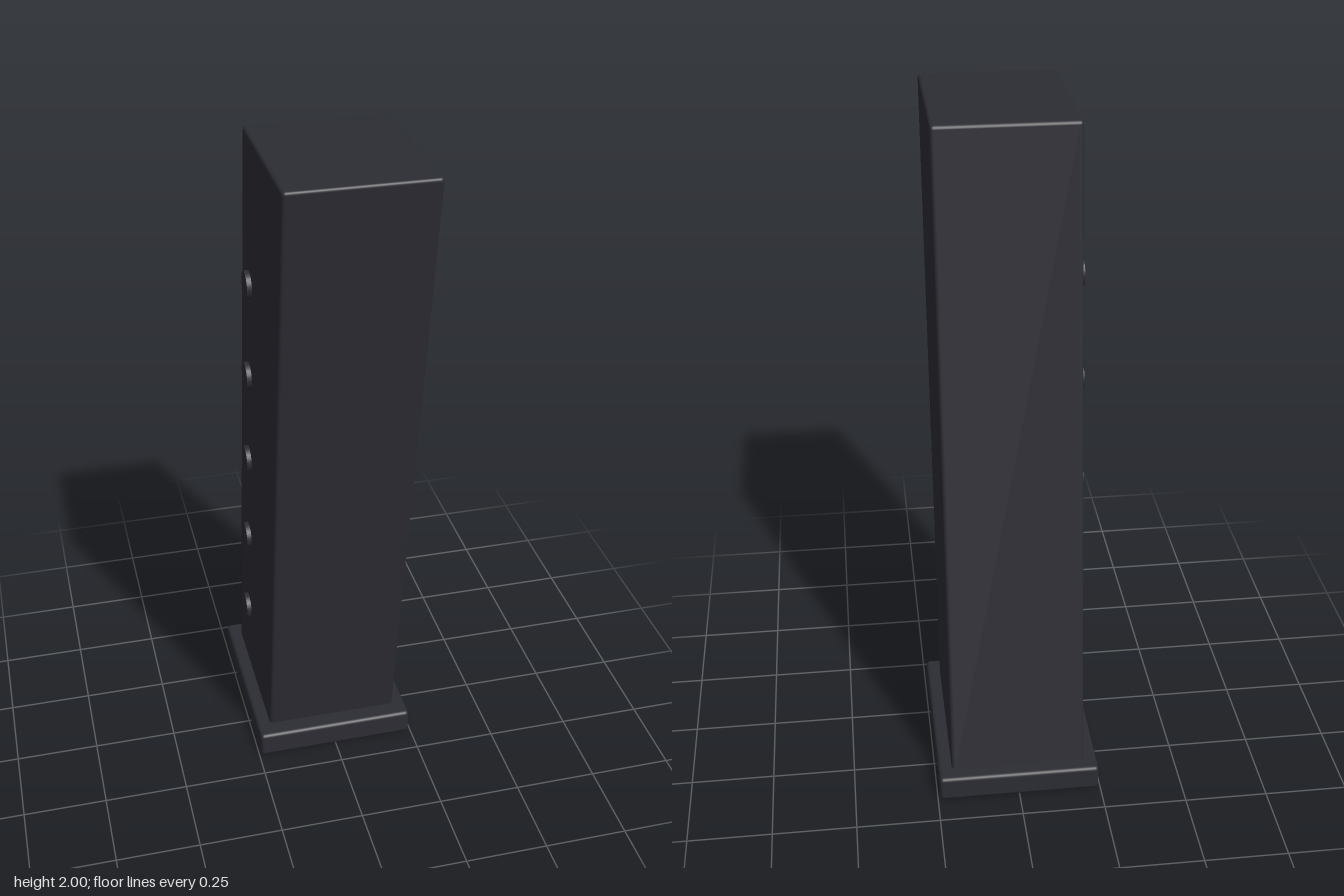
import * as THREE from 'three';
import { RoundedBoxGeometry } from 'three/addons/geometries/RoundedBoxGeometry.js';

export function createModel() {
  const model = new THREE.Group();
  const darkPolymer = new THREE.MeshStandardMaterial({ color: 0x2c2c34 });
  darkPolymer.name = 'darkPolymer';

  const add = (name, geometry, x, y, z) => {
    const mesh = new THREE.Mesh(geometry, darkPolymer);
    mesh.name = name;
    mesh.position.set(x, y, z);
    model.add(mesh);
  };

  // Floor plate
  add('basePlate', new RoundedBoxGeometry(0.488, 0.08, 0.588, 3, 0.012), 0, 0.04, -0.122);

  // Slanted body: a rounded box sheared forward, its foot sunk into the plate
  const bottom = 0.06, top = 2, slope = 0.157;
  const body = new RoundedBoxGeometry(0.406, top - bottom, 0.485, 3, 0.01);
  body.applyMatrix4(new THREE.Matrix4().set(
    1, 0, 0, 0,
    0, 1, 0, 0,
    0, slope, 1, 0,
    0, 0, 0, 1));
  add('body', body, 0, (top + bottom) / 2, 0.022);

  // Row of round witness marks on one side
  const mark = new THREE.CylinderGeometry(0.04, 0.04, 0.02, 24).rotateZ(Math.PI / 2);
  for (let i = 0; i < 5; i++) {
    add('witnessMark' + (i + 1), mark, -0.207, 0.33 + i * 0.307, -0.19 + i * 0.04);
  }
  return model;
}
